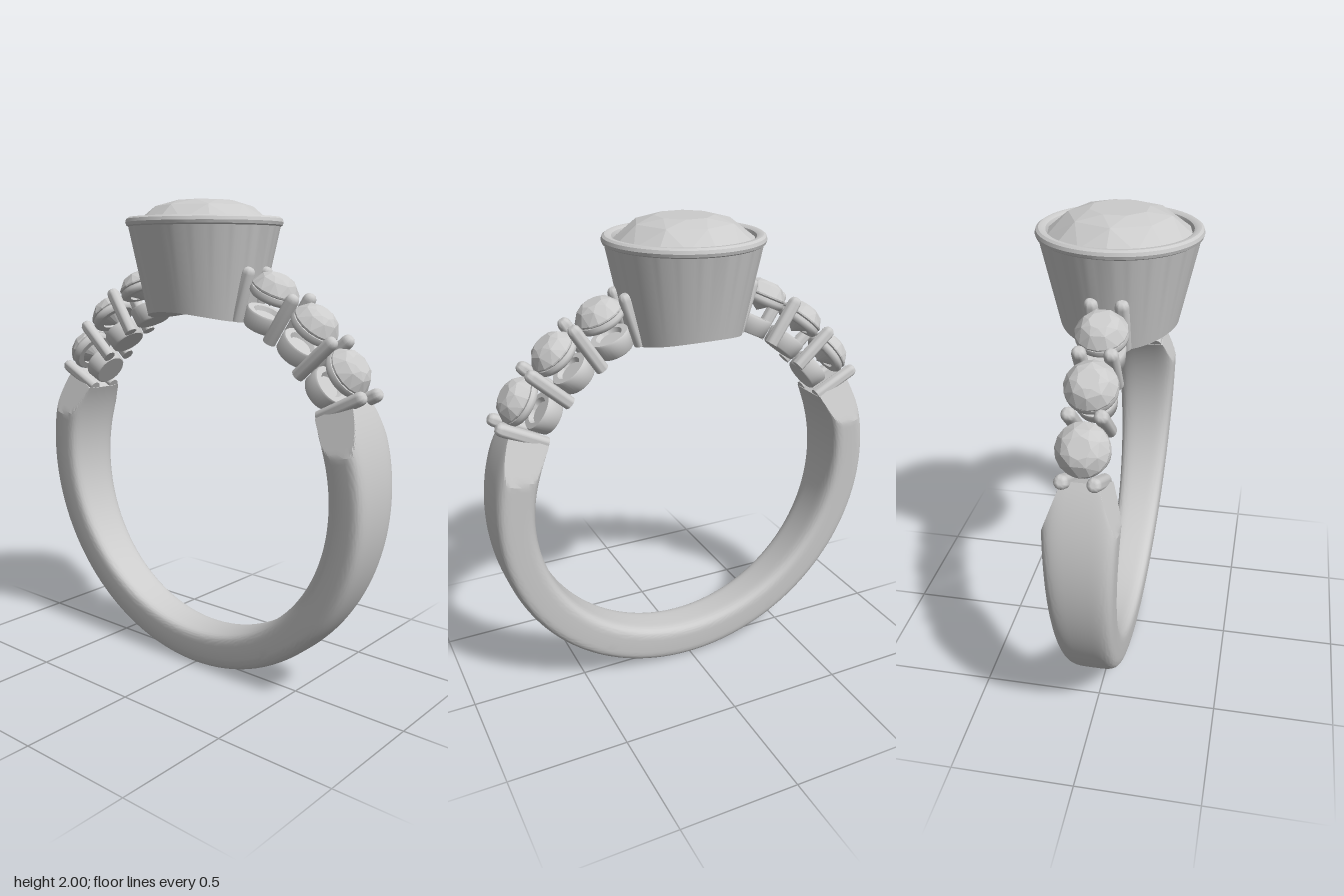
import * as THREE from 'three';
import { toCreasedNormals } from 'three/addons/utils/BufferGeometryUtils.js';
import { ConvexGeometry } from 'three/addons/geometries/ConvexGeometry.js';

const CY = 0.863;            // height of the ring's axis
const INNER = 0.695, OUTER = 0.86;
const DEG = Math.PI / 180;
const grey = new THREE.MeshStandardMaterial({ color: 0xcccccc });
const greyFlat = new THREE.MeshStandardMaterial({ color: 0xcccccc, flatShading: true });

function mesh(name, geometry, material = grey) {
  const m = new THREE.Mesh(geometry, material);
  m.name = name;
  return m;
}

function lathe(points, segments) {
  return new THREE.LatheGeometry(points.map(([r, y]) => new THREE.Vector2(r, y)), segments);
}

// Shank: rounded-rectangle section swept round the finger, wider near the top,
// with flat cuts narrowing both shoulders
function shankGeometry() {
  const STEPS = 160, SIDES = 64, P = 0.45;
  const a0 = -207 * DEG, a1 = 27 * DEG;
  const mid = (INNER + OUTER) / 2, half = (OUTER - INNER) / 2;
  const soft = v => Math.sign(v) * Math.abs(v) ** P;
  const pos = [], idx = [];
  for (let i = 0; i <= STEPS; i++) {
    const a = a0 + (a1 - a0) * i / STEPS;
    for (let j = 0; j < SIDES; j++) {
      const t = j / SIDES * Math.PI * 2;
      const r = mid + half * soft(Math.cos(t));
      const y = CY + r * Math.sin(a);
      const width = 0.088 + 0.05 * Math.min(1, y / 1.05);
      const cut = 0.14 - 0.37 * (y - 1.05);
      const z = THREE.MathUtils.clamp(width * soft(Math.sin(t)), -cut, cut);
      pos.push(r * Math.cos(a), y, z);
    }
  }
  for (let i = 0; i < STEPS; i++) {
    for (let j = 0; j < SIDES; j++) {
      const k = (j + 1) % SIDES;
      const p = i * SIDES + j, q = i * SIDES + k;
      idx.push(p, p + SIDES, q + SIDES, p, q + SIDES, q);
    }
  }
  // End caps
  for (const [a, row, flip] of [[a0, 0, false], [a1, STEPS, true]]) {
    const c = pos.length / 3;
    pos.push(mid * Math.cos(a), CY + mid * Math.sin(a), 0);
    for (let j = 0; j < SIDES; j++) {
      const p = row * SIDES + j, q = row * SIDES + (j + 1) % SIDES;
      idx.push(c, flip ? q : p, flip ? p : q);
    }
  }
  const g = new THREE.BufferGeometry();
  g.setAttribute('position', new THREE.Float32BufferAttribute(pos, 3));
  g.setIndex(idx);
  return toCreasedNormals(g, 0.3);
}

// Faceted round stone with its girdle at y = 0
function stoneGeometry(radius, crown, pavilion) {
  const pts = [new THREE.Vector3(0, -pavilion, 0)];
  const ring = (n, r, y, turn) => {
    for (let i = 0; i < n; i++) {
      const a = (i + turn) / n * Math.PI * 2;
      pts.push(new THREE.Vector3(r * Math.cos(a), y, r * Math.sin(a)));
    }
  };
  ring(8, radius * 0.42, crown, 0);
  ring(8, radius * 0.72, crown * 0.74, 0.5);
  ring(16, radius, 0, 0);
  ring(16, radius, -crown * 0.12, 0);
  return new ConvexGeometry(pts);
}

// Bezel cup: tapered wall, rolled rim, underside shaped to the finger hole
function bezelGeometry() {
  const g = lathe([
    [0.11, 1.72], [0.11, 1.5], [0.17, 1.5], [0.235, 1.5], [0.312, 1.895],
    [0.32, 1.9], [0.324, 1.912], [0.32, 1.925], [0.31, 1.932], [0.295, 1.932],
    [0.283, 1.925], [0.275, 1.905], [0.275, 1.87],
  ], 96);
  const p = g.attributes.position;
  for (let i = 0; i < p.count; i++) {
    if (p.getY(i) < 1.55) p.setY(i, CY + Math.sqrt(INNER ** 2 - p.getX(i) ** 2));
  }
  return toCreasedNormals(g, 0.6);
}

// Prongs, with flat foot and domed tip, standing along local y
const prongGeometry = toCreasedNormals(lathe([
  [0, 0.698], [0.027, 0.698], [0.027, 0.89], [0.0245, 0.903],
  [0.018, 0.912], [0.009, 0.916], [0, 0.917],
], 20), 0.7);

// Lower collet disc and upper seat ring below each small stone
const colletGeometry = toCreasedNormals(lathe([
  [0, 0.698], [0.07, 0.698], [0.075, 0.703], [0.083, 0.765], [0.079, 0.772],
  [0.055, 0.772], [0.045, 0.755], [0, 0.755],
], 40), 0.7);
const seatGeometry = toCreasedNormals(lathe([
  [0.062, 0.85], [0.062, 0.828], [0.088, 0.828], [0.097, 0.836], [0.099, 0.848],
  [0.095, 0.86], [0.075, 0.86], [0.062, 0.85],
], 40), 0.7);

// Frame whose local y points outward from the ring's axis at the given angle
function radialGroup(name, degrees) {
  const g = new THREE.Group();
  g.name = name;
  g.position.y = CY;
  g.rotation.z = (degrees - 90) * DEG;
  return g;
}

function shoulder(name) {
  const side = new THREE.Group();
  side.name = name;
  const stone = stoneGeometry(0.098, 0.053, 0.075);
  for (let i = 0; i < 3; i++) {
    const setting = radialGroup('smallStoneSetting', 34.6 + i * 15.2);
    const gem = mesh('smallStone', stone, greyFlat);
    gem.position.y = 0.872;
    gem.rotation.y = 0.4 * i;
    setting.add(mesh('collet', colletGeometry), mesh('seatRing', seatGeometry), gem);
    side.add(setting);
  }
  for (let i = 0; i < 4; i++) {
    const pair = radialGroup('prongPair', 27 + i * 15);
    for (const s of [-1, 1]) {
      const prong = mesh('prong', prongGeometry);
      prong.position.z = s * 0.058;
      pair.add(prong);
    }
    side.add(pair);
  }
  return side;
}

export function createModel() {
  const ring = new THREE.Group();
  ring.name = 'ring';
  ring.add(mesh('shank', shankGeometry()), mesh('bezel', bezelGeometry()));

  const centreStone = mesh('centreStone', stoneGeometry(0.279, 0.088, 0.2), greyFlat);
  centreStone.position.y = 1.912;
  centreStone.rotation.y = Math.PI / 8;
  ring.add(centreStone);

  const left = shoulder('leftShoulder');
  const right = shoulder('rightShoulder');
  right.rotation.y = Math.PI;
  ring.add(left, right);
  return ring;
}
